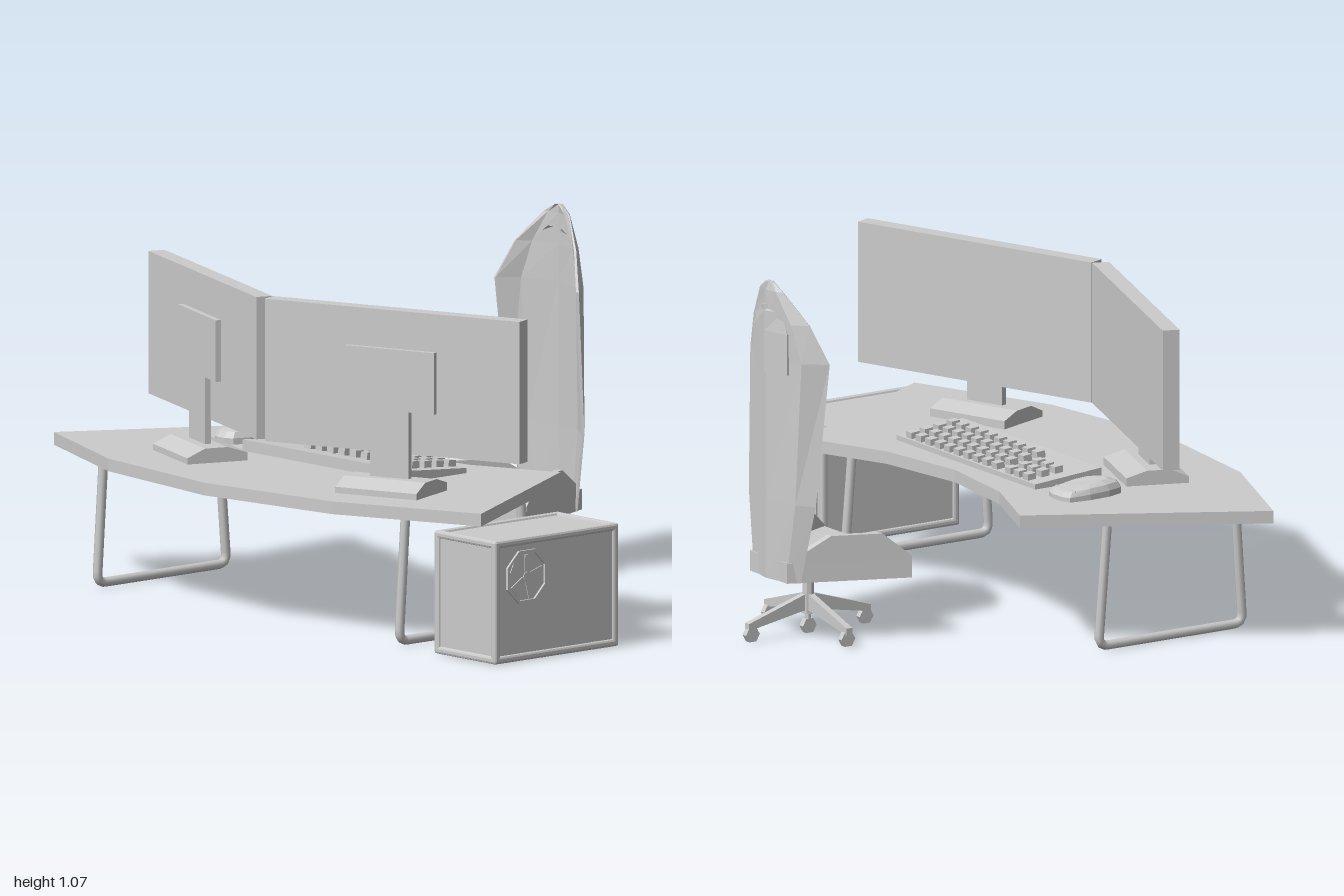
import * as THREE from 'three';
import { RoundedBoxGeometry } from 'three/addons/geometries/RoundedBoxGeometry.js';

const mat = new THREE.MeshStandardMaterial({ color: 0xcccccc, flatShading: true });
const smooth = new THREE.MeshStandardMaterial({ color: 0xcccccc });

function add(parent, name, geo, x = 0, y = 0, z = 0, m = mat) {
  const mesh = new THREE.Mesh(geo, m);
  mesh.name = name;
  mesh.position.set(x, y, z);
  parent.add(mesh);
  return mesh;
}
function group(parent, name, x = 0, y = 0, z = 0) {
  const g = new THREE.Group();
  g.name = name;
  g.position.set(x, y, z);
  parent.add(g);
  return g;
}
const box = (w, h, d) => new THREE.BoxGeometry(w, h, d);
const shapeOf = pts => new THREE.Shape(pts.map(p => new THREE.Vector2(p[0], p[1])));
const extrude = (shape, depth) => new THREE.ExtrudeGeometry(shape, { depth, bevelEnabled: false });

// plan outline of [x, z] points, hanging down from the height top
const slab = (pts, top, thick) => extrude(shapeOf(pts), thick).rotateX(Math.PI / 2).translate(0, top, 0);
// side outline of [z, y] points, extruded along x about its centre
const prism = (pts, width) => extrude(shapeOf(pts), width).translate(0, 0, -width / 2).rotateY(-Math.PI / 2);

// solid through rings stacked upwards; each ring runs counterclockwise seen from above
function loft(rings) {
  const pos = [], n = rings[0].length;
  const quad = (a, b, c, d) => [a, b, c, a, c, d].forEach(p => pos.push(...p));
  for (let i = 0; i < rings.length - 1; i++) {
    for (let j = 0; j < n; j++) {
      const k = (j + 1) % n;
      quad(rings[i][j], rings[i][k], rings[i + 1][k], rings[i + 1][j]);
    }
  }
  const lo = rings[0], hi = rings[rings.length - 1];
  for (let j = 0; j < n / 2 - 1; j++) {
    quad(hi[j], hi[j + 1], hi[n - 2 - j], hi[n - 1 - j]);
    quad(lo[n - 1 - j], lo[n - 2 - j], lo[j + 1], lo[j]);
  }
  const geo = new THREE.BufferGeometry();
  geo.setAttribute('position', new THREE.Float32BufferAttribute(pos, 3));
  geo.computeVertexNormals();
  return geo;
}

function buildDesk(root) {
  const desk = group(root, 'desk');
  add(desk, 'deskTop', slab([[-0.635, -0.15], [-0.37, -0.04], [-0.08, 0], [0.21, -0.04], [0.475, -0.15],
    [0.84, 0.485], [0.4, 0.665], [-0.08, 0.73], [-0.565, 0.665], [-1, 0.485]], 0.412, 0.037));
  // bent tube legs with rounded lower corners
  const V = (y, z) => new THREE.Vector3(0, y, z);
  const path = new THREE.CurvePath();
  path.add(new THREE.LineCurve3(V(0.38, 0.09), V(0.045, 0.062)));
  path.add(new THREE.QuadraticBezierCurve3(V(0.045, 0.062), V(0.014, 0.06), V(0.014, 0.09)));
  path.add(new THREE.LineCurve3(V(0.014, 0.09), V(0.014, 0.53)));
  path.add(new THREE.QuadraticBezierCurve3(V(0.014, 0.53), V(0.014, 0.56), V(0.045, 0.558)));
  path.add(new THREE.LineCurve3(V(0.045, 0.558), V(0.38, 0.535)));
  for (const x of [-0.73, 0.57]) add(desk, 'deskLeg', new THREE.TubeGeometry(path, 80, 0.014, 8, false), x, 0, 0, smooth);
}

function buildMonitor(root, side) {
  const m = group(root, 'monitor', -0.02 + side * 0.4, 0, 0.4);
  m.rotation.y = side * Math.PI / 9;
  add(m, 'screen', box(0.83, 0.416, 0.05), 0, 0.733, 0);
  add(m, 'mountPlate', box(0.29, 0.18, 0.018), 0, 0.74, 0.033);
  add(m, 'standNeck', box(0.125, 0.23, 0.018), 0, 0.55, 0.033);
  add(m, 'standBase', prism([[-0.062, 0.41], [0.125, 0.41], [0.125, 0.43], [0.07, 0.455], [0, 0.455], [-0.062, 0.436]], 0.265));
}

function buildKeyboard(root) {
  const k = group(root, 'keyboard', -0.05);
  add(k, 'keyboardBody', prism([[0.06, 0.41], [0.29, 0.41], [0.29, 0.445], [0.06, 0.427]], 0.71));
  const key = (x, row) => {
    const z = 0.08 + row * 0.047;
    add(k, 'key', box(0.028, 0.022, 0.028), x + 0.05, 0.436 + row * 0.0045, z).rotation.x = -0.078;
  };
  for (let row = 0; row < 4; row++) {
    for (let c = 0; c < 10; c++) key(-0.185 + c * 0.0485, row);
    if (row < 3) for (let c = 0; c < 3; c++) key(-0.345 + c * 0.045, row);
  }
}

function buildMouse(root) {
  const mouse = group(root, 'mouse', -0.537, 0.41, 0.15);
  // plan ring scaled in as it rises
  const plan = [[0.058, 0.04], [0.062, -0.03], [0.054, -0.095], [0.025, -0.105],
    [-0.025, -0.105], [-0.054, -0.095], [-0.062, -0.03], [-0.058, 0.04],
    [-0.04, 0.092], [-0.015, 0.105], [0.015, 0.105], [0.04, 0.092]];
  const ring = (s, y) => plan.map(([x, z]) => [x * s, y - Math.max(0, -z) * y * 2.5, z * s]);
  add(mouse, 'mouseBody', loft([ring(1, 0), ring(1, 0.02), ring(0.88, 0.037), ring(0.6, 0.046)]));
  add(mouse, 'mouseButtonSeam', box(0.1, 0.003, 0.004), 0, 0.03, -0.073);
}

function buildComputer(root) {
  const [w, h, d] = [0.265, 0.36, 0.48], t = 0.022;
  const pc = group(root, 'computer', 0.863, h / 2, 0.33);
  add(pc, 'caseBody', box(w - 0.014, h - 0.014, d - 0.014));
  // frame bars on all twelve edges
  for (const a of [-1, 1]) for (const b of [-1, 1]) {
    const fx = (w - t) / 2, fy = (h - t) / 2, fz = (d - t) / 2;
    add(pc, 'caseEdge', new RoundedBoxGeometry(w, t, t, 1, 0.007), 0, a * fy, b * fz);
    add(pc, 'caseEdge', new RoundedBoxGeometry(t, h, t, 1, 0.007), a * fx, 0, b * fz);
    add(pc, 'caseEdge', new RoundedBoxGeometry(t, t, d, 1, 0.007), a * fx, b * fy, 0);
  }
  // grille bars
  for (let i = -3; i <= 3; i++) add(pc, 'grilleBar', box(0.014, 0.27, 0.008), i * 0.03, 0, -d / 2 + 0.006);
  // octagonal fan on the side
  const fan = group(pc, 'fan', w / 2 - 0.008, 0.065, 0.115);
  fan.rotation.y = Math.PI / 2;
  const octagon = r => Array.from({ length: 8 }, (_, i) => {
    const a = (i + 0.5) * Math.PI / 4;
    return [r * Math.cos(a), r * Math.sin(a)];
  });
  const rim = shapeOf(octagon(0.083));
  rim.holes.push(new THREE.Path(octagon(0.074).map(p => new THREE.Vector2(...p))));
  add(fan, 'fanRim', extrude(rim, 0.008));
  add(fan, 'fanHub', new THREE.CylinderGeometry(0.014, 0.014, 0.007, 8).rotateX(Math.PI / 2), 0, 0, 0.0035);
  for (let i = 0; i < 5; i++) {
    const blade = extrude(shapeOf([[0.005, -0.008], [0.066, -0.012], [0.06, 0.025], [0.005, 0.008]]), 0.004);
    add(fan, 'fanBlade', blade).rotation.z = i * Math.PI * 0.4;
  }
}

function buildChair(root) {
  const chair = group(root, 'chair', -0.083);
  add(chair, 'seat', slab([[-0.235, -0.31], [0.235, -0.31], [0.095, -0.65], [-0.095, -0.65]], 0.245, 0.06));
  // raised side bolsters following the taper of the seat
  for (const s of [-1, 1]) {
    const geo = prism([[-0.31, 0.24], [-0.31, 0.25], [-0.39, 0.32], [-0.53, 0.32], [-0.615, 0.265], [-0.615, 0.24]], 0.022);
    const p = geo.attributes.position;
    for (let i = 0; i < p.count; i++) p.setX(i, p.getX(i) + s * (0.224 + (p.getZ(i) + 0.31) * 0.41));
    geo.computeVertexNormals();
    add(chair, 'seatBolster', geo);
  }
  // curved backrest shell: height, half width, z of the wing edge
  const back = [[0.185, 0.115, -0.615], [0.42, 0.165, -0.597], [0.84, 0.182, -0.56],
    [0.95, 0.132, -0.595], [1.04, 0.056, -0.638], [1.065, 0.012, -0.643]];
  const zc = -0.66;
  add(chair, 'backrest', loft(back.map(([y, w, z]) => {
    const zm = zc + (z - zc) * 0.36, t = 0.016;
    const outer = [[w, z], [w * 0.72, zm], [0, zc], [-w * 0.72, zm], [-w, z]];
    const inner = [[-w * 0.95, z + 0.003], [-w * 0.66, zm + t], [0, zc + t], [w * 0.66, zm + t], [w * 0.95, z + 0.003]];
    return [...outer, ...inner].map(p => [p[0], y, p[1]]);
  })));
  // pad on the rear of the backrest
  const pad = [[0.8, 0.085], [0.92, 0.085], [0.98, 0.06], [1, 0.03]];
  add(chair, 'rearPad', loft(pad.map(([y, w]) =>
    [[w, -0.643], [0, -0.665], [-w, -0.643], [-w, -0.63], [0, -0.65], [w, -0.63]].map(p => [p[0], y, p[1]]))));
  // column, spokes and hexagonal casters
  const base = group(chair, 'chairBase', 0, 0, -0.512);
  add(base, 'column', new THREE.CylinderGeometry(0.017, 0.017, 0.13, 8), 0, 0.125, 0);
  add(base, 'hub', new THREE.CylinderGeometry(0.022, 0.022, 0.055, 8), 0, 0.09, 0);
  for (let i = 0; i < 4; i++) {
    const a = i * Math.PI / 2;
    add(base, 'spoke', prism([[0, 0.075], [0.212, 0.037], [0.212, 0.058], [0.02, 0.118], [0, 0.118]], 0.02)).rotation.y = a;
    const x = Math.sin(a) * 0.198, z = Math.cos(a) * 0.198;
    add(base, 'caster', new THREE.CylinderGeometry(0.024, 0.024, 0.018, 6).rotateZ(Math.PI / 2), x, 0.024, z);
  }
  add(base, 'centreFoot', new THREE.CylinderGeometry(0.024, 0.024, 0.018, 6).rotateZ(Math.PI / 2), 0, 0.024, 0);
  add(base, 'centrePost', new THREE.CylinderGeometry(0.01, 0.01, 0.04, 6), 0, 0.055, 0);
}

export function createModel() {
  const root = new THREE.Group();
  root.name = 'workstation';
  buildDesk(root);
  for (const side of [-1, 1]) buildMonitor(root, side);
  buildKeyboard(root);
  buildMouse(root);
  buildComputer(root);
  buildChair(root);
  return root;
}
